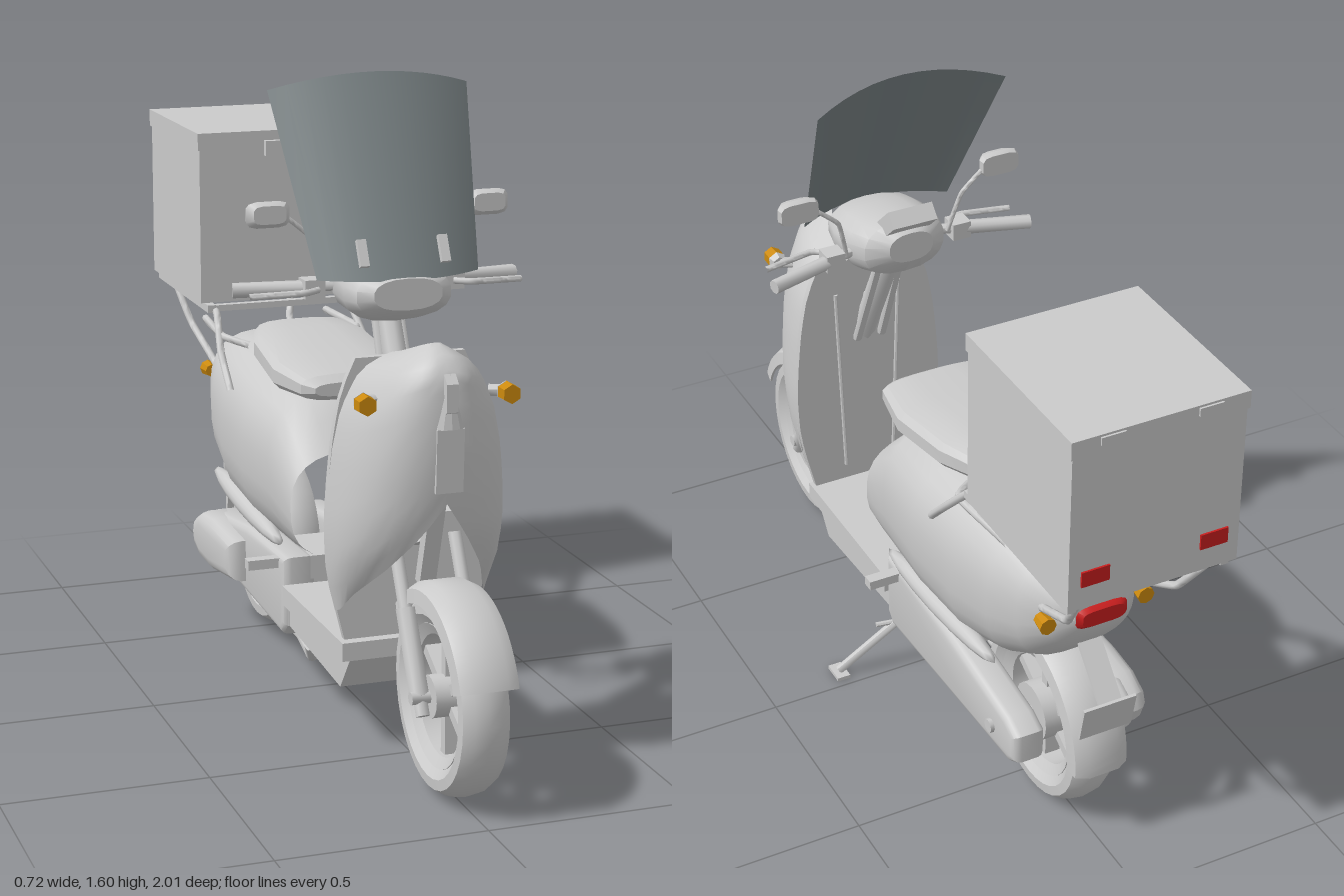
import * as THREE from 'three';
import { toCreasedNormals } from 'three/addons/utils/BufferGeometryUtils.js';

const paint = (name, color, side = THREE.FrontSide) => {
  const m = new THREE.MeshStandardMaterial({ color, side });
  m.name = name;
  return m;
};

export function createModel() {
  const grey = paint('bodyGrey', 0xcbcbcb);
  const glass = paint('windshieldGrey', 0x7a8385, THREE.DoubleSide);
  const red = paint('lampRed', 0xc81e1e);
  const orange = paint('signalOrange', 0xcc8a0e);
  const root = new THREE.Group();
  root.name = 'deliveryScooter';
  const V = (x, y, z) => new THREE.Vector3(x, y, z);
  const sides = (fn) => [-1, 1].forEach(fn);

  const add = (name, geo, mat = grey, parent = root, crease = 0.6) => {
    const mesh = new THREE.Mesh(toCreasedNormals(geo, crease), mat);
    mesh.name = name;
    parent.add(mesh);
    return mesh;
  };
  const box = (name, size, pos, mat = grey, rotX = 0) => {
    const m = add(name, new THREE.BoxGeometry(...size), mat);
    m.position.set(...pos);
    m.rotation.x = rotX;
    return m;
  };
  const rod = (name, a, b, r) => {
    const from = V(...a), dir = V(...b).sub(from);
    const m = add(name, new THREE.CylinderGeometry(r, r, dir.length(), 8), grey, root, 0.9);
    m.position.copy(from).addScaledVector(dir, 0.5);
    m.quaternion.setFromUnitVectors(V(0, 1, 0), dir.normalize());
    return m;
  };
  const pipe = (name, pts, r) => add(name, new THREE.TubeGeometry(
    new THREE.CatmullRomCurve3(pts.map((p) => V(...p)), false, 'catmullrom', 0.2), 24, r, 8), grey, root, 0.9);
  // Side profile of [z, y] points, spanning x0 to x1
  const slab = (name, pts, x0, x1, bevel = 0) => {
    const shape = new THREE.Shape(pts.map(([z, y]) => new THREE.Vector2(z, y)));
    const g = new THREE.ExtrudeGeometry(shape, { depth: x1 - x0 - 2 * bevel, bevelEnabled: bevel > 0,
      bevelSize: bevel, bevelThickness: bevel, bevelOffset: -bevel, bevelSegments: 3 });
    return add(name, g.rotateY(-Math.PI / 2).translate(x1 - bevel, 0, 0));
  };
  // Skin over rows of points; closed rows wrap around, caps fill the ends
  const skin = (rows, { wrap = false, front = false, back = false } = {}) => {
    const n = rows[0].length, pos = rows.flat(2), idx = [];
    for (let i = 0; i < rows.length - 1; i++) for (let j = 0; j < (wrap ? n : n - 1); j++) {
      const a = i * n + j, b = i * n + (j + 1) % n;
      idx.push(a, a + n, b, b, a + n, b + n);
    }
    const cap = (r, flip) => {
      const c = pos.length / 3;
      for (let k = 0; k < 3; k++) pos.push(rows[r].reduce((s, p) => s + p[k], 0) / n);
      for (let j = 0; j < n; j++) {
        const a = r * n + j, b = r * n + (j + 1) % n;
        idx.push(c, flip ? b : a, flip ? a : b);
      }
    };
    if (front) cap(0, false);
    if (back) cap(rows.length - 1, true);
    const g = new THREE.BufferGeometry();
    g.setAttribute('position', new THREE.Float32BufferAttribute(pos, 3));
    g.setIndex(idx);
    return g;
  };
  const signedPow = (v, e) => Math.sign(v) * Math.abs(v) ** e;
  // Rounded-box cross-sections [z, bottom, top, halfWidth], listed front to back
  const hull = (secs, power, n, caps) => skin(secs.map(([z, lo, hi, w]) =>
    Array.from({ length: n }, (_, j) => {
      const t = (j + 0.5) / n * Math.PI * 2;
      return [w * signedPow(Math.cos(t), 2 / power),
        (lo + hi) / 2 + (hi - lo) / 2 * signedPow(Math.sin(t), 2 / power), z];
    })), { wrap: true, ...caps });
  const closed = { front: true, back: true };
  const lathe = (pts, seg, start, len) => new THREE.LatheGeometry(
    pts.map(([r, y]) => new THREE.Vector2(r, y)), seg, start, len).rotateZ(Math.PI / 2);

  // Wheels
  const wheel = (name, y, z, hubR) => {
    const g = new THREE.Group();
    g.name = name;
    g.position.set(0, y, z);
    root.add(g);
    add('tyre', lathe([[0.165, -0.04], [0.19, -0.058], [0.215, -0.056], [0.23, -0.032], [0.235, 0],
      [0.23, 0.032], [0.215, 0.056], [0.19, 0.058], [0.165, 0.04], [0.165, -0.04]], 32), grey, g);
    add('rim', lathe([[0.142, -0.03], [0.168, -0.045], [0.168, 0.045], [0.142, 0.03], [0.142, -0.03]], 32), grey, g);
    add('hub', new THREE.CylinderGeometry(hubR, hubR, 0.11, 20).rotateZ(Math.PI / 2), grey, g);
    for (let i = 0; i < 6; i++) {
      const geo = new THREE.BoxGeometry(0.04, 0.12, 0.026).translate(0, 0.095, 0).rotateX(i * Math.PI / 3);
      add('spoke', geo, grey, g);
    }
    return g;
  };
  const frontWheel = wheel('frontWheel', 0.24, 0.765, 0.05);
  wheel('rearWheel', 0.235, -0.555, 0.075);
  add('brakeDisc', lathe([[0.045, -0.054], [0.108, -0.054], [0.108, -0.046], [0.045, -0.046], [0.045, -0.054]], 28),
    grey, frontWheel);

  // Mudguards and plate holder
  const guard = [[0.215, -0.075], [0.248, -0.07], [0.264, -0.04], [0.264, 0.04], [0.248, 0.07], [0.215, 0.075],
    [0.215, 0.068], [0.24, 0.06], [0.25, 0.035], [0.25, -0.035], [0.24, -0.06], [0.215, -0.068], [0.215, -0.075]];
  add('frontMudguard', lathe(guard, 20, 0.35, 2.05)).position.set(0, 0.24, 0.765);
  add('rearMudguard', lathe(guard, 14, 1.8, 1.4)).position.set(0, 0.235, -0.555);
  box('plateBracket', [0.06, 0.16, 0.008], [0, 0.51, -0.775], grey, 0.75);
  box('plateHolder', [0.14, 0.1, 0.008], [0, 0.4, -0.822], grey, -0.2);

  // Fork and steering column
  sides((s) => {
    rod('forkLeg', [s * 0.075, 0.2, 0.78], [s * 0.075, 0.62, 0.555], 0.017);
    rod('forkSleeve', [s * 0.075, 0.24, 0.758], [s * 0.075, 0.42, 0.662], 0.024);
    rod('columnTube', [s * 0.035, 0.74, 0.455], [s * 0.03, 1.03, 0.33], 0.012);
  });
  rod('frontAxle', [-0.1, 0.24, 0.765], [0.1, 0.24, 0.765], 0.016);
  box('forkBridge', [0.18, 0.05, 0.07], [0, 0.6, 0.57]);
  rod('steeringColumn', [0, 0.55, 0.59], [0, 1.08, 0.31], 0.03);

  // Front shield: rounded shell with a V-shaped lower edge, rows [y, halfWidth, depth]
  const lerp = (table, y) => {
    const k = Math.max(1, table.findIndex((r) => r[0] <= y));
    const [a, b] = [table[k - 1], table[k]], t = (y - a[0]) / (b[0] - a[0]);
    return [1, 2].map((c) => a[c] + (b[c] - a[c]) * t);
  };
  const form = [[1.037, 0.04, 0.17], [1.02, 0.095, 0.225], [0.98, 0.135, 0.26], [0.9, 0.172, 0.268],
    [0.8, 0.192, 0.268], [0.7, 0.203, 0.257], [0.6, 0.21, 0.235], [0.5, 0.207, 0.18], [0.42, 0.195, 0.1], [0.28, 0.16, 0.05]];
  const rows = Array.from({ length: 17 }, (_, i) => Array.from({ length: 25 }, (_, j) => {
    const u = (j / 24 - 0.5) * Math.PI, sx = signedPow(Math.sin(u), 0.85), t = (i / 16) ** 1.5;
    const y = 1.037 + (0.68 - 0.31 * Math.abs(sx) - 1.037) * t, [w, d] = lerp(form, y);
    return [w * sx, y - (1 - Math.cos(u)) * 0.055 * (1 - t), 0.475 + d * Math.max(0, Math.cos(u)) ** 0.85];
  }));
  add('frontShield', skin(rows), grey, root, 1);
  const half = Array.from({ length: 15 }, (_, i) => 0.975 - i * 0.0485).map((y) => [lerp(form, y)[0] * 0.985, y]);
  const outline = new THREE.Shape([...half, ...half.map(([x, y]) => [-x, y]).reverse()].map((p) => new THREE.Vector2(...p)));
  add('legShield', new THREE.ExtrudeGeometry(outline, { depth: 0.018, bevelEnabled: false }).translate(0, 0, 0.466));
  sides((s) => rod('legShieldRib', [s * 0.07, 0.34, 0.466], [s * 0.09, 0.88, 0.466], 0.006));
  rod('bagHook', [0, 0.86, 0.47], [0, 0.86, 0.445], 0.012);
  slab('shieldCrest', [[0.748, 0.86], [0.742, 0.71], [0.7, 0.71], [0.7, 0.86]], -0.033, 0.033);
  const crestTip = add('crestTip', new THREE.ConeGeometry(0.034, 0.125, 10));
  crestTip.position.set(0, 0.922, 0.738);
  crestTip.scale.z = 0.5;
  slab('shieldVent', [[0.735, 0.985], [0.756, 0.965], [0.756, 0.9], [0.735, 0.89]], -0.014, 0.014);
  box('shieldKeel', [0.04, 0.26, 0.03], [0, 0.58, 0.63], grey, 0.3);

  // Handlebar cowl, gauge and controls
  add('handlebarCowl', hull([[0.47, 1.075, 1.15, 0.085], [0.44, 1.05, 1.165, 0.118], [0.38, 1.032, 1.18, 0.13],
    [0.3, 1.032, 1.195, 0.13], [0.24, 1.05, 1.2, 0.11], [0.2, 1.1, 1.18, 0.06]], 2.4, 18, closed));
  box('gauge', [0.12, 0.045, 0.085], [0, 1.205, 0.222], grey, 0.75);
  sides((s) => {
    rod('handlebar', [s * 0.1, 1.11, 0.3], [s * 0.2, 1.105, 0.28], 0.013);
    rod('grip', [s * 0.18, 1.105, 0.285], [s * 0.355, 1.1, 0.24], 0.018);
    box('switchPod', [0.05, 0.045, 0.05], [s * 0.175, 1.105, 0.29]);
    pipe('brakeLever', [[s * 0.17, 1.105, 0.32], [s * 0.21, 1.105, 0.345], [s * 0.34, 1.1, 0.325]], 0.008);
    pipe('mirrorStem', [[s * 0.14, 1.11, 0.28], [s * 0.17, 1.22, 0.26], [s * 0.24, 1.28, 0.262]], 0.006);
    add('mirror', hull([[0.02, -0.02, 0.024, 0.04], [0, -0.032, 0.032, 0.054], [-0.016, -0.028, 0.028, 0.05]], 4, 12,
      closed)).position.set(s * 0.275, 1.28, 0.265);
  });

  // Windshield: gently curved, leaning back
  add('windshield', skin([0, 1].map((v) => Array.from({ length: 13 }, (_, j) => {
    const u = j / 6 - 1, q = u * u;
    return [u * (0.25 - 0.05 * v), 1.6 - 0.455 * v - 0.04 * q * (1 - v), 0.235 + 0.235 * v - q * (0.05 + 0.02 * v)];
  }))), glass);
  sides((s) => box('windshieldClip', [0.022, 0.065, 0.014], [s * 0.1, 1.208, 0.433], grey, -0.47));

  // Floorboard and battery box
  slab('floorboard', [[0.495, 0.29], [0.03, 0.29], [0.03, 0.24], [0.495, 0.245]], -0.17, 0.17);
  slab('floorPan', [[0.49, 0.245], [0.03, 0.245], [0.03, 0.18], [0.42, 0.155]], -0.15, 0.15);
  box('batteryBox', [0.13, 0.06, 0.07], [-0.03, 0.33, -0.005]);

  // Rear body, open towards the footwell
  add('rearBody', hull([[0.115, 0.37, 0.65, 0.175], [0.05, 0.362, 0.715, 0.185], [-0.02, 0.36, 0.775, 0.194],
    [-0.2, 0.36, 0.79, 0.205], [-0.4, 0.37, 0.81, 0.2], [-0.55, 0.42, 0.805, 0.182], [-0.65, 0.48, 0.795, 0.155],
    [-0.73, 0.565, 0.77, 0.115], [-0.777, 0.64, 0.738, 0.07]], 2.6, 28, { back: true }), grey, root, 0.8);
  sides((s) => {
    const trim = add('sideTrim', new THREE.SphereGeometry(1, 16, 8));
    trim.scale.set(0.03, 0.028, 0.29);
    trim.position.set(s * 0.165, 0.415, -0.28);
    trim.rotation.x = 0.08;
  });

  // Seat
  add('seat', hull([[0.115, 0.79, 0.825, 0.11], [0.09, 0.775, 0.842, 0.14], [-0.05, 0.765, 0.86, 0.167],
    [-0.25, 0.79, 0.885, 0.155], [-0.33, 0.805, 0.89, 0.13], [-0.375, 0.815, 0.88, 0.11]], 3.2, 16, closed), grey, root, 0.4);

  // Swing arm covers, motor housing, stands and foot pegs
  const arm = [[0.03, 0.36], [-0.3, 0.35], [-0.62, 0.305], [-0.675, 0.28], [-0.675, 0.2], [-0.64, 0.18],
    [-0.46, 0.172], [0, 0.15], [0.03, 0.18]];
  slab('leftSwingArm', arm, 0.08, 0.165, 0.02);
  slab('rightSwingArm', arm, -0.165, -0.08, 0.02);
  slab('motorHousing', [[-0.3, 0.31], [-0.5, 0.318], [-0.6, 0.31], [-0.66, 0.28], [-0.675, 0.24], [-0.66, 0.2],
    [-0.6, 0.175], [-0.5, 0.172], [-0.3, 0.2]], -0.212, -0.1, 0.035);
  box('armBridge', [0.2, 0.13, 0.24], [0, 0.27, -0.11]);
  rod('rearAxle', [-0.17, 0.235, -0.555], [0.175, 0.235, -0.555], 0.018);
  sides((s) => box('footPeg', [0.09, 0.025, 0.03], [s * 0.2, 0.335, -0.03]));
  pipe('underTube', [[-0.145, 0.18, 0.18], [-0.11, 0.118, 0.09], [-0.07, 0.1, -0.12], [-0.09, 0.125, -0.26],
    [-0.14, 0.19, -0.33]], 0.016);
  rod('kickstand', [0.1, 0.175, 0.01], [0.295, 0.012, 0.05], 0.012);
  rod('kickstandSpur', [0.14, 0.14, 0.02], [0.195, 0.14, 0.03], 0.007);
  box('kickstandFoot', [0.035, 0.01, 0.06], [0.295, 0.005, 0.05]);

  // Luggage rack
  for (let i = 0; i < 5; i++) box('rackSlat', [0.4, 0.016, 0.02], [0, 0.895, -0.5 - i * 0.115]);
  sides((s) => {
    box('rackRail', [0.022, 0.02, 0.49], [s * 0.195, 0.895, -0.73]);
    pipe('frontStrut', [[s * 0.2, 0.715, -0.305], [s * 0.2, 0.8, -0.39], [s * 0.185, 0.885, -0.475], [s * 0.185, 0.89, -0.53]], 0.01);
    pipe('rearStrut', [[s * 0.12, 0.69, -0.71], [s * 0.14, 0.765, -0.86], [s * 0.15, 0.8, -0.89], [s * 0.17, 0.89, -0.955]], 0.01);
    pipe('grabRail', [[s * 0.13, 0.82, -0.36], [s * 0.185, 0.835, -0.42], [s * 0.17, 0.838, -0.635]], 0.01);
  });

  // Delivery box
  box('cargoBox', [0.43, 0.41, 0.472], [0, 1.11, -0.755]);
  box('cargoLid', [0.44, 0.045, 0.48], [0, 1.333, -0.755]);
  box('boxLatch', [0.08, 0.04, 0.02], [0, 1.31, -0.507]);
  sides((s) => {
    box('lidHinge', [0.06, 0.02, 0.008], [s * 0.12, 1.34, -0.996]);
    box('boxReflector', [0.07, 0.04, 0.008], [s * 0.15, 0.985, -0.992], red);
  });

  // Lamps
  add('tailLamp', hull([[-0.755, 0.645, 0.71, 0.07], [-0.778, 0.647, 0.708, 0.068], [-0.79, 0.658, 0.7, 0.056]], 4, 16,
    closed), red);
  sides((s) => {
    rod('frontSignalStem', [s * 0.14, 0.91, 0.62], [s * 0.17, 0.91, 0.635], 0.014);
    const f = add('frontSignal', new THREE.CylinderGeometry(0.023, 0.024, 0.035, 6).rotateX(Math.PI / 2), orange);
    f.position.set(s * 0.174, 0.911, 0.664);
    const c = add('frontSignalHousing', new THREE.CylinderGeometry(0.025, 0.018, 0.018, 6).rotateX(Math.PI / 2));
    c.position.set(s * 0.174, 0.911, 0.638);
    rod('rearSignalStem', [s * 0.09, 0.68, -0.7], [s * 0.125, 0.67, -0.725], 0.011);
    const r = add('rearSignal', new THREE.CylinderGeometry(0.017, 0.022, 0.04, 8).rotateX(Math.PI / 2), orange);
    r.position.set(s * 0.13, 0.67, -0.74);
  });
  return root;
}
